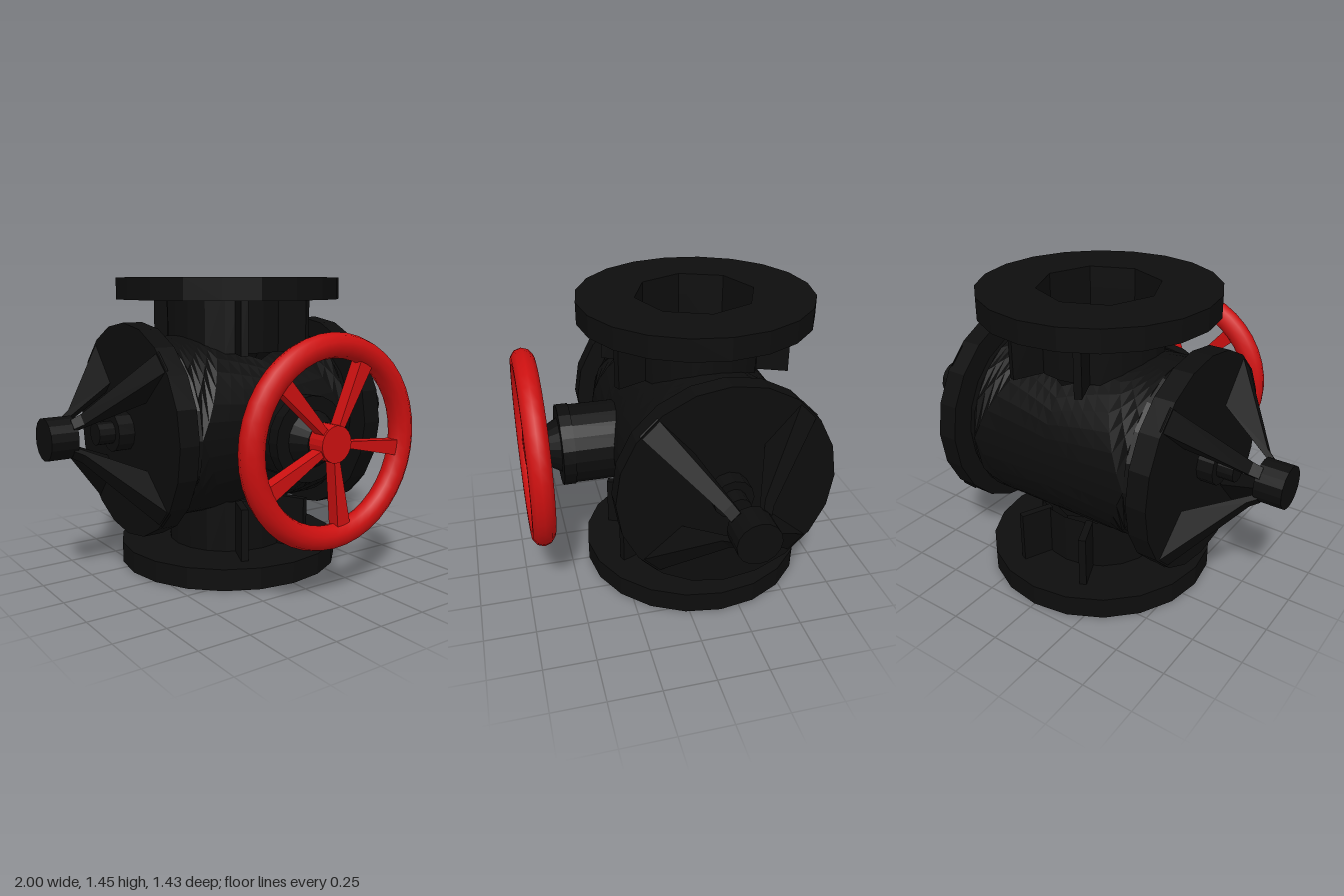
import * as THREE from 'three';

const AXIS_Z = -0.155, AXIS_Y = 0.725, PIPE_TOP = 1.45;
const iron = new THREE.MeshStandardMaterial({ color: 0x0d0d0d, flatShading: true, side: THREE.DoubleSide });
const red = new THREE.MeshStandardMaterial({ color: 0xcc1010 });
const redFlat = new THREE.MeshStandardMaterial({ color: 0xcc1010, flatShading: true });

function add(parent, name, geometry, material = iron) {
  const mesh = new THREE.Mesh(geometry, material);
  mesh.name = name;
  parent.add(mesh);
  return mesh;
}

function polygon(radius, sides) {
  return Array.from({ length: sides }, (_, i) => {
    const a = (i / sides) * Math.PI * 2;
    return new THREE.Vector2(radius * Math.cos(a), radius * Math.sin(a));
  });
}

// Cylinder lying along x from x0 to x1
function rodX(x0, x1, r0, r1 = r0, sides = 20, open = false) {
  return new THREE.CylinderGeometry(r1, r0, x1 - x0, sides, 1, open)
    .rotateZ(-Math.PI / 2).translate((x0 + x1) / 2, 0, 0);
}

// Cylinder lying along z from z0 to z1
function rodZ(z0, z1, r0, r1 = r0, sides = 20) {
  return new THREE.CylinderGeometry(r1, r0, z1 - z0, sides)
    .rotateX(Math.PI / 2).translate(0, 0, (z0 + z1) / 2);
}

// Upper half of the sideways barrel, with an octagonal opening for the pipe
function barrelHalf(radius, halfLength, hole) {
  const around = 40, rings = 6, pos = [], index = [];
  for (let j = 0; j <= rings; j++) {
    for (let i = 0; i <= around; i++) {
      const a = (i / around) * Math.PI * 2, c = Math.cos(a), s = Math.sin(a);
      const oct = hole * Math.cos(Math.PI / 8) / Math.cos((a % (Math.PI / 4)) - Math.PI / 8);
      const edge = 1 / Math.max(Math.abs(c), Math.abs(s)), t = j / rings;
      const x = THREE.MathUtils.lerp(oct * c, halfLength * c * edge, t);
      const turn = THREE.MathUtils.lerp(Math.asin(oct * s / radius), Math.PI / 2 * s * edge, t);
      pos.push(x, radius * Math.cos(turn), radius * Math.sin(turn));
      if (i < around && j < rings) {
        const p = j * (around + 1) + i, q = p + around + 1;
        index.push(p, p + 1, q, p + 1, q + 1, q);
      }
    }
  }
  const g = new THREE.BufferGeometry();
  g.setAttribute('position', new THREE.Float32BufferAttribute(pos, 3));
  g.setIndex(index);
  g.computeVertexNormals();
  return g;
}

// Yoke arm running from the end flange in to the hub, thinner at the hub
function yokeArm() {
  const shape = new THREE.Shape([[0.58, 0.27], [0.89, 0.07], [0.89, 0.1], [0.85, 0.13], [0.58, 0.515]]
    .map(([x, y]) => new THREE.Vector2(x, y)));
  const g = new THREE.ExtrudeGeometry(shape, { depth: 1, bevelEnabled: false }).translate(0, 0, -0.5);
  const p = g.attributes.position;
  for (let i = 0; i < p.count; i++) {
    p.setZ(i, p.getZ(i) * THREE.MathUtils.mapLinear(p.getY(i), 0.07, 0.515, 0.05, 0.11));
  }
  g.computeVertexNormals();
  return g;
}

function createPipe() {
  const pipe = new THREE.Group();
  pipe.name = 'pipe';
  pipe.position.z = AXIS_Z;
  const ring = new THREE.Shape(polygon(0.565, 20));
  ring.holes.push(new THREE.Path(polygon(0.29, 8).reverse()));
  const flange = new THREE.ExtrudeGeometry(ring, { depth: 0.105, bevelEnabled: false }).rotateX(-Math.PI / 2);
  for (const [label, y0, y1, flangeY] of [['lower', 0.05, 0.36, 0], ['upper', 1.09, 1.4, PIPE_TOP - 0.105]]) {
    add(pipe, label + 'Flange', flange).position.y = flangeY;
    const wall = new THREE.CylinderGeometry(0.31, 0.31, y1 - y0, 20, 1, true);
    add(pipe, label + 'PipeWall', wall).position.y = (y0 + y1) / 2;
    const bore = new THREE.CylinderGeometry(0.29, 0.29, y1 - y0, 8, 1, true);
    add(pipe, label + 'Bore', bore).position.y = (y0 + y1) / 2;
    // Four upright stiffening ribs
    for (const sx of [-1, 1]) for (const sz of [-1, 1]) {
      const rib = add(pipe, label + 'Rib', new THREE.BoxGeometry(0.035, y1 - y0, 0.165));
      const a = Math.atan2(sx * 0.185, sz * 0.42);
      rib.position.set(Math.sin(a) * 0.375, (y0 + y1) / 2, Math.cos(a) * 0.375);
      rib.rotation.y = a;
    }
  }
  return pipe;
}

function createBody() {
  const body = new THREE.Group();
  body.name = 'body';
  body.position.set(0, AXIS_Y, AXIS_Z);
  const half = barrelHalf(0.445, 0.43, 0.295);
  add(body, 'upperBarrel', half);
  add(body, 'lowerBarrel', half).rotation.x = Math.PI;
  // Gate discs inside the bore
  for (const x of [-0.175, 0.195]) add(body, 'gateDisc', rodX(x - 0.018, x + 0.018, 0.3));
  const arm = yokeArm();
  for (const side of [1, -1]) {
    const end = new THREE.Group();
    end.name = side > 0 ? 'leftEnd' : 'rightEnd';
    end.rotation.y = side > 0 ? 0 : Math.PI;
    body.add(end);
    add(end, 'barrelChamfer', rodX(0.43, 0.5, 0.445, 0.4, 20, true));
    add(end, 'endFlange', rodX(0.49, 0.59, 0.515));
    add(end, 'gland', rodX(0.58, 0.67, 0.095, 0.095, 12));
    add(end, 'stem', rodX(0.66, 0.75, 0.055, 0.055, 12));
    add(end, 'hub', rodX(0.87, 1, 0.1, 0.1, 16));
    for (let k = 0; k < 4; k++) {
      add(end, 'yokeArm', arm).rotation.x = Math.PI / 4 + k * Math.PI / 2;
    }
  }
  return body;
}

function createBonnet() {
  const bonnet = new THREE.Group();
  bonnet.name = 'bonnet';
  bonnet.position.y = AXIS_Y;
  add(bonnet, 'bonnetBarrel', rodZ(-0.08, 0.48, 0.195));
  add(bonnet, 'bonnetCollar', rodZ(0.47, 0.53, 0.201));
  add(bonnet, 'bonnetCone', rodZ(0.52, 0.61, 0.14, 0.09));
  return bonnet;
}

function createWheel() {
  const wheel = new THREE.Group();
  wheel.name = 'handWheel';
  wheel.position.set(0, 0.73, 0.66);
  add(wheel, 'rim', new THREE.TorusGeometry(0.43, 0.057, 10, 40), red);
  add(wheel, 'wheelHub', rodZ(-0.06, 0.04, 0.084), redFlat);
  // Spokes widen towards the rim
  const outline = new THREE.Shape([[0.05, -0.014], [0.41, -0.038], [0.41, 0.038], [0.05, 0.014]]
    .map(([x, y]) => new THREE.Vector2(x, y)));
  const spoke = new THREE.ExtrudeGeometry(outline, { depth: 0.06, bevelEnabled: false }).translate(0, 0, -0.03);
  for (let k = 0; k < 5; k++) {
    add(wheel, 'spoke', spoke, redFlat).rotation.z = THREE.MathUtils.degToRad(-9 + 72 * k);
  }
  return wheel;
}

export function createModel() {
  const model = new THREE.Group();
  model.name = 'gateValve';
  model.add(createPipe(), createBody(), createBonnet(), createWheel());
  return model;
}
